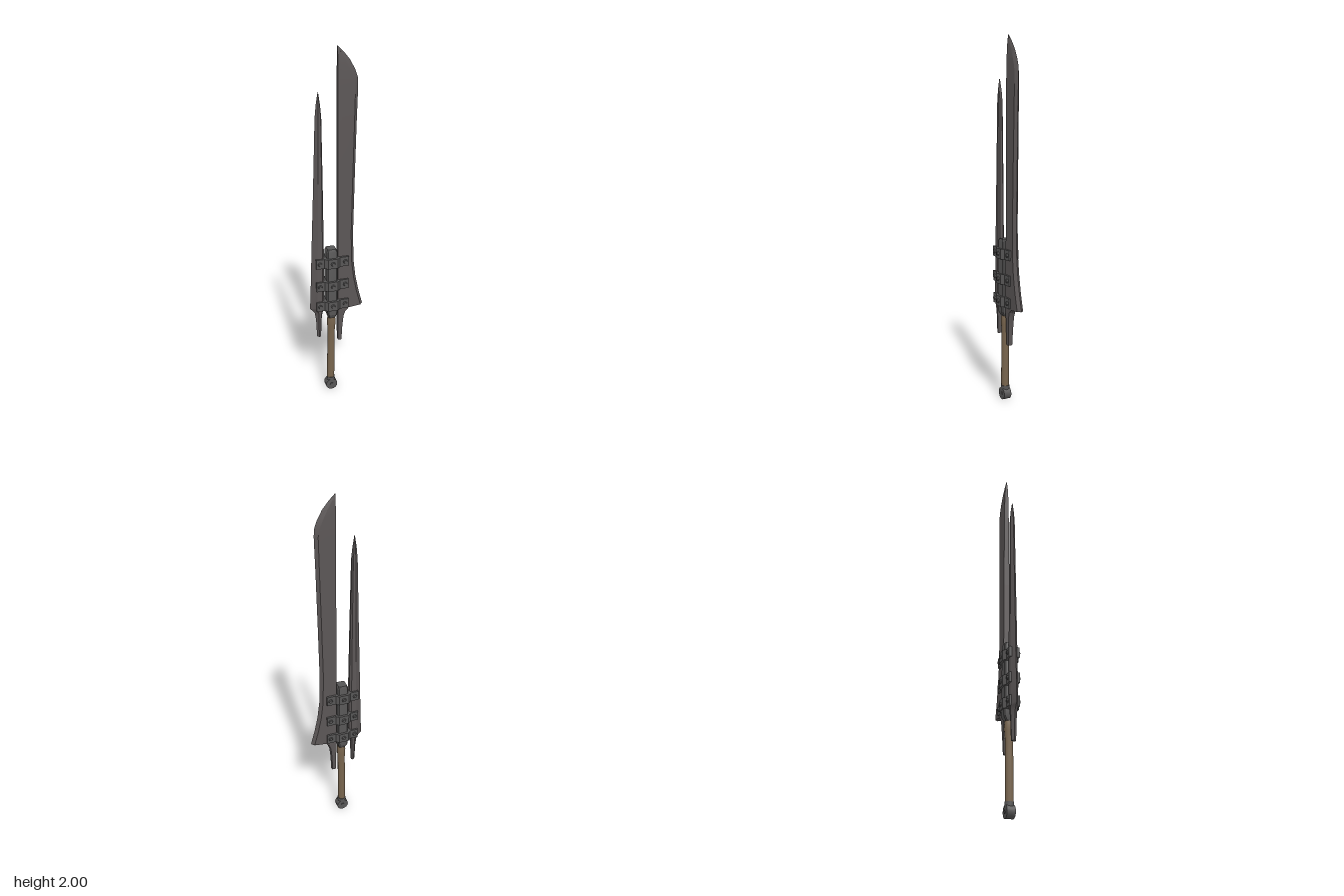
import * as THREE from 'three';
import { toCreasedNormals } from 'three/addons/utils/BufferGeometryUtils.js';

const mat = (name, color, side = THREE.FrontSide) => {
  const m = new THREE.MeshStandardMaterial({ color, side });
  m.name = name;
  return m;
};

// Closed solid through rings of [x, z] points, listed from the bottom up
function loft(rings) {
  const n = rings[0].points.length, pos = [], idx = [];
  rings.forEach(r => r.points.forEach(([x, z]) => pos.push(x, r.y, z)));
  for (let i = 0; i < rings.length - 1; i++) {
    for (let j = 0; j < n; j++) {
      const a = i * n + j, b = i * n + (j + 1) % n;
      idx.push(a, b, b + n, a, b + n, a + n);
    }
  }
  const top = (rings.length - 1) * n;
  for (let j = 1; j < n - 1; j++) {
    idx.push(0, j + 1, j, top, top + j, top + j + 1);
  }
  const g = new THREE.BufferGeometry();
  g.setAttribute('position', new THREE.Float32BufferAttribute(pos, 3));
  g.setIndex(idx);
  return toCreasedNormals(g, 0.4);
}

// Rectangle with cut corners
function chamferedBox(cx, hx, hz, c) {
  return [[-hx + c, hz], [hx - c, hz], [hx, hz - c], [hx, -hz + c],
    [hx - c, -hz], [-hx + c, -hz], [-hx, -hz + c], [-hx, hz - c]].map(([x, z]) => [cx + x, z]);
}

export function createModel() {
  const group = new THREE.Group();
  const steel = mat('darkSteel', 0x5b5656);
  const iron = mat('iron', 0x575656);
  const wrap = mat('leatherWrap', 0x78654e);
  const add = (name, geo, m, parent = group) => {
    const mesh = new THREE.Mesh(geo, m);
    mesh.name = name;
    parent.add(mesh);
    return mesh;
  };

  // Broad blade: y, spine x, edge x, half thickness, bevel width
  const broad = [
    [0.33, 0.006, 0.03, 0.012, 0.004], [0.42, 0.005, 0.034, 0.015, 0.004],
    [0.49, 0.004, 0.042, 0.017, 0.005], [0.52, 0.004, 0.053, 0.018, 0.006],
    [0.54, 0.004, 0.075, 0.018, 0.008], [0.548, 0.004, 0.152, 0.018, 0.016],
    [0.56, 0.004, 0.149, 0.018, 0.016], [0.64, 0.004, 0.128, 0.018, 0.016],
    [0.73, 0.004, 0.11, 0.018, 0.016], [0.83, 0.004, 0.098, 0.017, 0.016],
    [1.0, 0.004, 0.094, 0.016, 0.016], [1.3, 0.004, 0.1, 0.015, 0.016],
    [1.6, 0.004, 0.107, 0.014, 0.016], [1.8, 0.004, 0.113, 0.013, 0.018],
    [1.84, 0.004, 0.111, 0.012, 0.024], [1.88, 0.004, 0.097, 0.011, 0.026],
    [1.93, 0.004, 0.07, 0.009, 0.024], [1.97, 0.004, 0.037, 0.006, 0.016],
    [2.0, 0.004, 0.006, 0.002, 0.001],
  ];
  add('broadBlade', loft(broad.map(([y, s, e, t, b]) => ({
    y, points: [[s, t], [e - b, t], [e, 0], [e - b, -t], [s, -t]],
  }))), steel);

  // Narrow blade: y, edge x, spine x, half thickness
  const narrow = [
    [0.37, -0.116, -0.094, 0.012], [0.48, -0.121, -0.091, 0.015],
    [0.525, -0.128, -0.086, 0.018], [0.542, -0.14, -0.08, 0.02],
    [0.555, -0.155, -0.076, 0.02], [0.7, -0.149, -0.075, 0.02],
    [0.9, -0.142, -0.075, 0.019], [1.3, -0.127, -0.078, 0.016],
    [1.65, -0.115, -0.082, 0.013], [1.72, -0.108, -0.088, 0.009],
    [1.78, -0.098, -0.096, 0.002],
  ];
  add('narrowBlade', loft(narrow.map(([y, e, s, t]) => {
    const w = s - e;
    return { y, points: [[e, 0], [e + w * 0.45, t], [s - w * 0.15, t], [s, t * 0.5],
      [s, -t * 0.5], [s - w * 0.15, -t], [e + w * 0.45, -t]] };
  })), steel);

  // Central bar between the blades
  const barX = -0.032;
  const bar = [[0.49, 0.02, 0.022], [0.515, 0.027, 0.035], [0.55, 0.03, 0.036],
    [0.56, 0.03, 0.031], [0.905, 0.03, 0.031], [0.92, 0.024, 0.026]];
  add('centralBar', loft(bar.map(([y, hx, hz]) => ({
    y, points: chamferedBox(barX, hx, hz, 0.006),
  }))), iron);

  // Three clamps holding the blades to the bar, each bolted front and back
  const half = [[-0.122, 0.029], [-0.076, 0.029], [-0.06, 0.044], [-0.004, 0.044],
    [0.012, 0.029], [0.062, 0.029]];
  const outline = [...half, ...half.map(([x, z]) => [x, -z]).reverse()];
  const clampShape = new THREE.Shape(outline.map(([x, z]) => new THREE.Vector2(x, z)));
  const clampGeo = new THREE.ExtrudeGeometry(clampShape, { depth: 0.056, bevelEnabled: false });
  clampGeo.rotateX(-Math.PI / 2).translate(0, -0.028, 0);
  const boltGeo = toCreasedNormals(new THREE.CylinderGeometry(0.009, 0.013, 0.008, 8), 0.5);
  for (const y of [0.84, 0.7, 0.575]) {
    const clamp = new THREE.Group();
    clamp.name = 'clamp';
    clamp.position.y = y;
    group.add(clamp);
    add('clampPlate', clampGeo, iron, clamp);
    for (const [x, z] of [[-0.102, 0.032], [barX, 0.047], [0.042, 0.032]]) {
      for (const s of [1, -1]) {
        const bolt = add('bolt', boltGeo, iron, clamp);
        bolt.position.set(x, 0, s * z);
        bolt.rotation.x = s * Math.PI / 2;
      }
    }
  }

  // Wrapped grip, leaning slightly toward the pommel
  const profile = [[0, 0.06], [0.02, 0.06], [0.022, 0.1], [0.0215, 0.3], [0.021, 0.4],
    [0.024, 0.44], [0.025, 0.465], [0.022, 0.49], [0, 0.49]];
  const grip = new THREE.LatheGeometry(profile.map(([r, y]) => new THREE.Vector2(r, y)), 12);
  const p = grip.attributes.position;
  for (let i = 0; i < p.count; i++) {
    p.setX(i, p.getX(i) - 0.037 + 0.006 * (p.getY(i) - 0.06) / 0.43);
  }
  add('grip', toCreasedNormals(grip, 0.7), wrap);

  // Round pommel with a rivet through it
  const pommel = new THREE.Group();
  pommel.name = 'pommel';
  pommel.position.set(-0.036, 0.036, 0);
  group.add(pommel);
  const disc = new THREE.CylinderGeometry(0.034, 0.034, 0.044, 16).rotateX(Math.PI / 2);
  add('pommelDisc', toCreasedNormals(disc, 0.6), iron, pommel);
  const rivet = new THREE.CylinderGeometry(0.01, 0.01, 0.05, 8).rotateX(Math.PI / 2);
  add('pommelRivet', toCreasedNormals(rivet, 0.6), iron, pommel);
  const neck = new THREE.CylinderGeometry(0.024, 0.024, 0.03, 12);
  add('pommelNeck', toCreasedNormals(neck, 0.6), iron, pommel).position.y = 0.032;

  return group;
}
